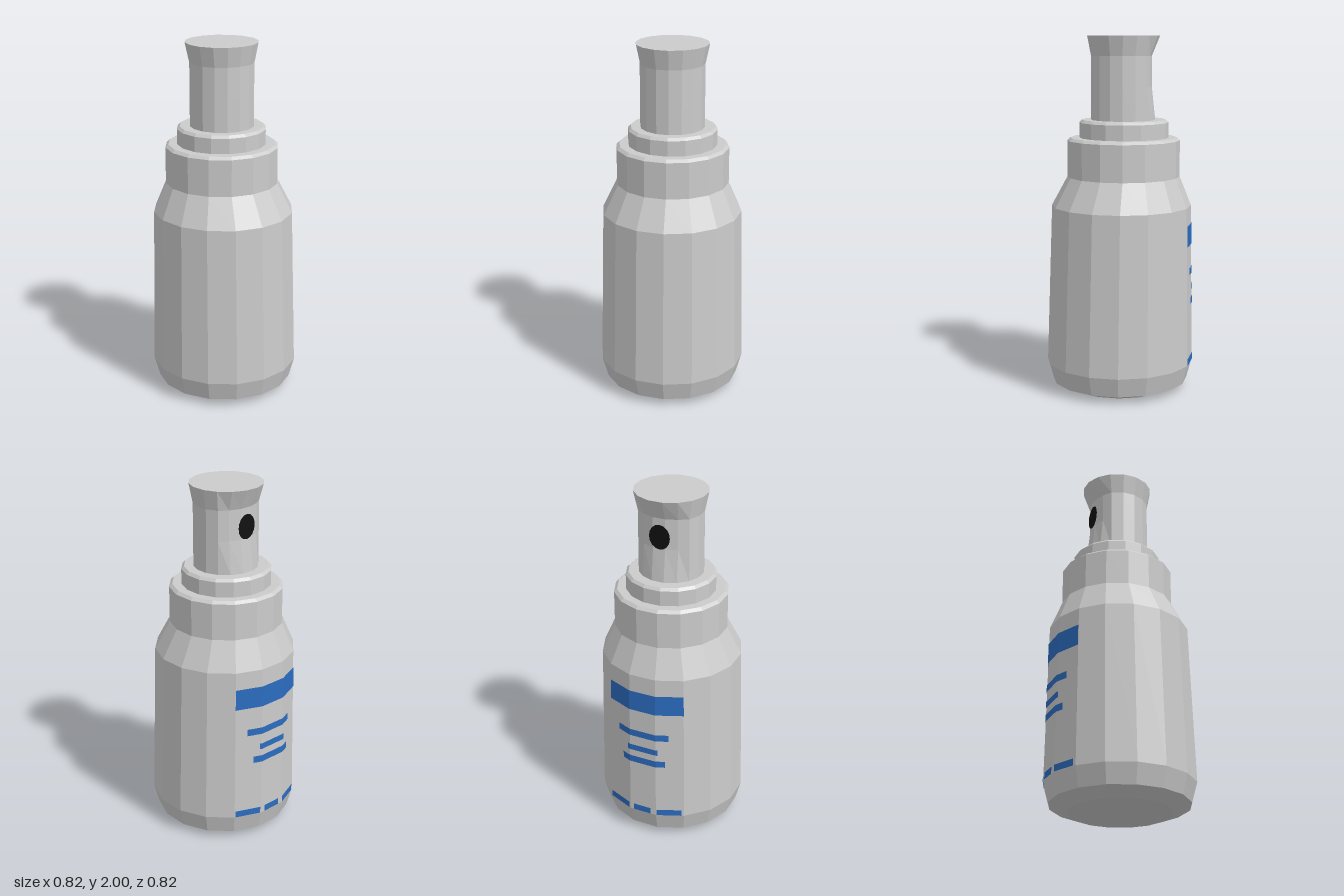
import * as THREE from 'three';

const SIDES = 16;
const OFFSET = THREE.MathUtils.degToRad(12.5);
const angle = (i) => OFFSET + (i / SIDES) * Math.PI * 2;
const grey = new THREE.MeshStandardMaterial({ color: 0xcccccc, flatShading: true });
const blue = new THREE.MeshStandardMaterial({ color: 0x2b6cc0, flatShading: true, side: THREE.DoubleSide });
const dark = new THREE.MeshStandardMaterial({ color: 0x111111 });

// Body rings: [height, radius, centre x]
const BODY = [
  [0, 0.285, 0], [0.04, 0.387, 0], [0.15, 0.417, 0],
  [1.05, 0.395, -0.01], [1.215, 0.317, -0.022],
];

function makeMesh(name, positions, index, material) {
  let geometry = new THREE.BufferGeometry();
  geometry.setAttribute('position', new THREE.Float32BufferAttribute(positions, 3));
  geometry.setIndex(index);
  geometry = geometry.toNonIndexed();
  geometry.computeVertexNormals();
  const mesh = new THREE.Mesh(geometry, material);
  mesh.name = name;
  return mesh;
}

// Closed faceted solid through rings; adjust may move single points
function loft(name, rings, adjust = (p) => p) {
  const positions = [];
  const index = [];
  rings.forEach(([y, r, cx]) => {
    for (let i = 0; i < SIDES; i++) {
      const p = new THREE.Vector3(cx + r * Math.cos(angle(i)), y, r * Math.sin(angle(i)));
      positions.push(...adjust(p).toArray());
    }
  });
  const last = (rings.length - 1) * SIDES;
  const bottom = rings.length * SIDES;
  positions.push(rings[0][2], rings[0][0], 0);
  positions.push(rings.at(-1)[2], rings.at(-1)[0], 0);
  for (let i = 0; i < SIDES; i++) {
    const j = (i + 1) % SIDES;
    for (let k = 0; k < last; k += SIDES) {
      const a = k + i, b = k + j;
      index.push(a, a + SIDES, b + SIDES, a, b + SIDES, b);
    }
    index.push(bottom, i, j, bottom + 1, last + j, last + i);
  }
  return makeMesh(name, positions, index, grey);
}

// Point on the tapered wall; u runs 0..3 over the three label panels, back to front
function wallPoint(u, y) {
  const t = (y - 0.15) / 0.9;
  const r = THREE.MathUtils.lerp(BODY[2][1], BODY[3][1], t) + 0.003;
  const cx = THREE.MathUtils.lerp(BODY[2][2], BODY[3][2], t);
  const k = Math.min(Math.floor(u), 2);
  const corner = (n) => new THREE.Vector3(cx + r * Math.cos(angle(9 - n)), y, r * Math.sin(angle(9 - n)));
  return corner(k).lerp(corner(k + 1), u - k);
}

// Thin stripe that bends at the panel edges
function stripe(name, y0, y1, u0, u1) {
  const us = [u0, ...[1, 2].filter((u) => u > u0 && u < u1), u1];
  const positions = us.flatMap((u) => [...wallPoint(u, y0).toArray(), ...wallPoint(u, y1).toArray()]);
  const index = [];
  for (let i = 0; i < us.length - 1; i++) {
    const a = i * 2;
    index.push(a, a + 2, a + 3, a, a + 3, a + 1);
  }
  return makeMesh(name, positions, index, blue);
}

export function createModel() {
  const model = new THREE.Group();
  model.name = 'sprayBottle';

  // Bottle and stepped collars
  model.add(loft('bottleBody', BODY));
  model.add(loft('capSkirt', [
    [1.215, 0.317, -0.022], [1.42, 0.317, -0.022], [1.435, 0.3, -0.022],
  ]));
  model.add(loft('capCollar', [
    [1.43, 0.25, -0.024], [1.52, 0.25, -0.024], [1.535, 0.235, -0.024],
  ]));

  // Pump head, dented on one side around the spray hole
  const dent = (p) => {
    if (p.y > 1.6 && p.y < 1.95) p.x = Math.max(p.x, -0.175, -0.21 + 0.575 * Math.abs(p.z));
    return p;
  };
  model.add(loft('pumpHead', [
    [1.53, 0.18, -0.02], [1.72, 0.18, -0.02], [1.89, 0.18, -0.02], [2, 0.203, -0.022],
  ], dent));

  // Spray hole
  const hole = new THREE.Mesh(new THREE.CircleGeometry(1, 16), dark);
  hole.name = 'sprayHole';
  hole.scale.set(0.06, 0.07, 1);
  hole.rotation.y = -Math.PI / 2;
  hole.position.set(-0.178, 1.785, 0);
  model.add(hole);

  // Label stripes: [bottom, top, start, end]
  const label = new THREE.Group();
  label.name = 'label';
  [
    [0.83, 0.95, 0, 3], [0.66, 0.7, 0.45, 2.47], [0.565, 0.6, 0.92, 2.08], [0.485, 0.525, 0.67, 2.33],
    [0.152, 0.19, 0.02, 0.95], [0.152, 0.19, 1.15, 1.8], [0.152, 0.19, 2.03, 2.9],
  ].forEach((s, i) => label.add(stripe(`labelStripe${i + 1}`, ...s)));
  model.add(label);

  return model;
}
